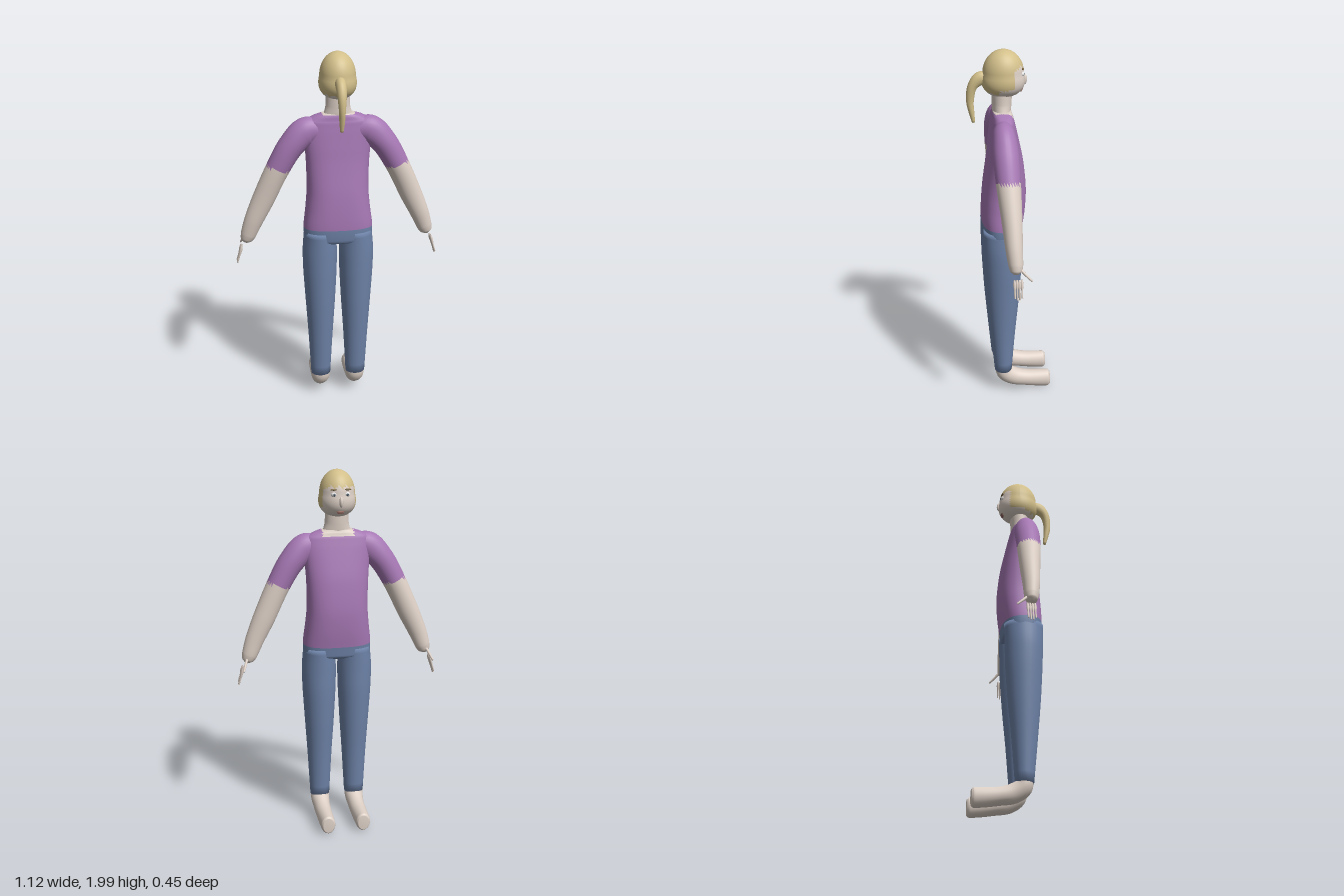
import * as THREE from 'three';

const mat = (name, color) => Object.assign(new THREE.MeshStandardMaterial({ color }), { name });
const skin = mat('skin', 0xddd0c6);
const shirt = mat('shirt purple', 0xa678b4);
const denim = mat('denim blue', 0x6e83a8);
const blonde = mat('blonde hair', 0xd2bf8a);
const brown = mat('brow brown', 0x7d6a45);
const white = mat('eye white', 0xe9e9e9);
const iris = mat('iris grey', 0x4d5a66);
const rose = mat('lip rose', 0x94695f);

const X = new THREE.Vector3(1, 0, 0);
const Z = new THREE.Vector3(0, 0, 1);

// Smooth closed sweep through rows [x, y, z, radius along side axis, radius across it].
function sweep(rows, side, { seg = 28, sub = 5, power = 1 } = {}) {
  const path = new THREE.CatmullRomCurve3(rows.map(r => new THREE.Vector3(r[0], r[1], r[2])));
  const radii = new THREE.CatmullRomCurve3(rows.map(r => new THREE.Vector3(r[3], r[4], 0)));
  const pos = [], index = [], n = (rows.length - 1) * sub;
  const bend = v => Math.sign(v) * Math.abs(v) ** power;
  for (let i = 0; i <= n; i++) {
    const p = path.getPoint(i / n), r = radii.getPoint(i / n);
    const across = path.getTangent(i / n).cross(side).normalize();
    for (let j = 0; j < seg; j++) {
      const a = (j / seg) * Math.PI * 2;
      const v = p.clone().addScaledVector(side, r.x * bend(Math.cos(a))).addScaledVector(across, r.y * bend(Math.sin(a)));
      pos.push(v.x, v.y, v.z);
      if (i < n) {
        const k = (j + 1) % seg, A = i * seg + j, B = i * seg + k;
        index.push(A, B, A + seg, B, B + seg, A + seg);
      }
    }
  }
  // end caps
  const start = pos.length / 3, last = n * seg;
  for (const r of [rows[0], rows[rows.length - 1]]) pos.push(r[0], r[1], r[2]);
  for (let j = 0; j < seg; j++) {
    const k = (j + 1) % seg;
    index.push(start, k, j, start + 1, last + j, last + k);
  }
  const g = new THREE.BufferGeometry();
  g.setAttribute('position', new THREE.Float32BufferAttribute(pos, 3));
  g.setIndex(index);
  g.computeVertexNormals();
  return g;
}

// Sort triangles into material groups; pick(x, y, z) returns the group for a triangle centre.
function paint(g, count, pick) {
  const src = g.index.array, p = g.attributes.position;
  const lists = Array.from({ length: count }, () => []);
  for (let i = 0; i < src.length; i += 3) {
    const t = [src[i], src[i + 1], src[i + 2]];
    const mid = f => (f(t[0]) + f(t[1]) + f(t[2])) / 3;
    lists[pick(mid(k => p.getX(k)), mid(k => p.getY(k)), mid(k => p.getZ(k)))].push(...t);
  }
  g.setIndex(lists.flat());
  let at = 0;
  lists.forEach((l, m) => { g.addGroup(at, l.length, m); at += l.length; });
  return g;
}

export function createModel() {
  const model = new THREE.Group();
  model.name = 'standing figure';
  const add = (name, geometry, material) => {
    const m = new THREE.Mesh(geometry, material);
    m.name = name;
    model.add(m);
    return m;
  };
  const blob = (name, material, at, size) => {
    const m = add(name, new THREE.SphereGeometry(1, 16, 12), material);
    m.position.set(...at);
    m.scale.set(...size);
  };

  // torso: hips, shirt and collar, as [height, half width, front z, back z]
  const torso = [
    [0.965, 0.12, -0.02, 0.11], [0.985, 0.185, -0.058, 0.15], [1.05, 0.188, -0.066, 0.157],
    [1.15, 0.176, -0.08, 0.155], [1.25, 0.167, -0.085, 0.147], [1.4, 0.169, -0.07, 0.127],
    [1.5, 0.176, -0.05, 0.116], [1.59, 0.184, -0.03, 0.106], [1.64, 0.175, -0.018, 0.1],
    [1.667, 0.13, -0.01, 0.095], [1.682, 0.082, -0.005, 0.09],
  ].map(([y, w, f, b]) => [0, y, (f + b) / 2, w, (b - f) / 2]);
  add('torso', paint(sweep(torso, X, { seg: 40, power: 0.78 }), 3, (x, y, z) =>
    y < 1.05 ? 0 : Math.abs(x) < 0.085 && y > (z < 0.03 ? 1.65 : 1.676) ? 2 : 1), [denim, shirt, skin]);

  add('neck', sweep([
    [0, 1.65, 0.044, 0.088, 0.046], [0, 1.685, 0.043, 0.073, 0.05],
    [0, 1.72, 0.042, 0.065, 0.052], [0, 1.82, 0.04, 0.062, 0.055],
  ], X), skin);

  for (const s of [1, -1]) {
    const label = s > 0 ? 'left' : 'right';
    const flip = rows => rows.map(([x, ...rest]) => [s * x, ...rest]);

    // arm with short sleeve
    const arm = sweep(flip([
      [0.09, 1.59, 0.048, 0.045, 0.055], [0.17, 1.585, 0.048, 0.061, 0.077],
      [0.245, 1.515, 0.046, 0.068, 0.07], [0.32, 1.39, 0.042, 0.064, 0.064],
      [0.405, 1.21, 0.033, 0.053, 0.06], [0.46, 1.09, 0.029, 0.045, 0.051],
      [0.49, 1.01, 0.024, 0.038, 0.042], [0.501, 0.982, 0.023, 0.03, 0.032],
      [0.506, 0.967, 0.023, 0.012, 0.012],
    ]), Z, { sub: 8 });
    add(label + 'Arm', paint(arm, 2, (x, y) => (y > 1.39 + 0.3 * (Math.abs(x) - 0.32) ? 0 : 1)), [shirt, skin]);

    // four fingers and a thumb
    for (let i = 0; i < 4; i++) {
      const z = -0.003 + i * 0.0125, tip = i === 0 || i === 3 ? 0.855 : 0.845;
      add(label + 'Finger', sweep(flip([
        [0.528, 0.947, z, 0.005, 0.005], [0.54, 0.9, z, 0.005, 0.005], [0.554, tip, z, 0.004, 0.004],
      ]), Z, { seg: 8, sub: 2 }), skin);
    }
    add(label + 'Thumb', sweep(flip([
      [0.505, 0.995, 0, 0.008, 0.008], [0.519, 0.965, -0.028, 0.007, 0.007], [0.53, 0.938, -0.056, 0.005, 0.005],
    ]), X, { seg: 10, sub: 3 }), skin);

    // trouser leg
    add(label + 'Leg', sweep(flip([
      [0.1, 1.03, 0.047, 0.086, 0.107], [0.101, 0.9, 0.048, 0.095, 0.104], [0.101, 0.8, 0.0475, 0.093, 0.1015],
      [0.1, 0.6, 0.049, 0.082, 0.089], [0.1, 0.4, 0.05, 0.069, 0.071], [0.1, 0.14, 0.048, 0.055, 0.049],
    ]), X), denim);

    // bare foot pointing toward -z
    add(label + 'Foot', sweep(flip([
      [0.1, 0.17, 0.048, 0.05, 0.044], [0.1, 0.12, 0.04, 0.053, 0.05], [0.1, 0.085, -0.01, 0.047, 0.052],
      [0.1, 0.069, -0.08, 0.045, 0.048], [0.1, 0.06, -0.16, 0.043, 0.051],
      [0.1, 0.057, -0.21, 0.04, 0.052], [0.1, 0.057, -0.224, 0.031, 0.042],
    ]), X), skin);

    // eyes and brows
    blob(label + 'Eye', white, [s * 0.034, 1.878, -0.06], [0.017, 0.014, 0.014]);
    blob(label + 'Iris', iris, [s * 0.035, 1.878, -0.071], [0.007, 0.007, 0.004]);
    blob(label + 'Brow', brown, [s * 0.036, 1.904, -0.064], [0.02, 0.005, 0.007]);
  }

  // head: fuller toward the jaw, hair split off along a ragged hairline
  const head = new THREE.SphereGeometry(1, 40, 28);
  const p = head.attributes.position;
  for (let i = 0; i < p.count; i++) {
    const y = p.getY(i), k = 1 + 0.35 * Math.max(0, -y);
    p.setXYZ(i, p.getX(i) * 0.095 * k, 1.875 + y * 0.125, 0.033 + p.getZ(i) * 0.108 * k);
  }
  head.computeVertexNormals();
  add('head', paint(head, 2, (x, y, z) => {
    const jag = 0.006 * Math.sin(x * 160);
    const face = z < -0.022 + jag && y < 1.915 + jag;
    return face || y < (z > 0.06 ? 1.785 : 1.8) + jag ? 1 : 0;
  }), [blonde, skin]);

  // nose and lips
  blob('nose', skin, [0, 1.84, -0.075], [0.011, 0.029, 0.017]);
  blob('upperLip', rose, [0, 1.789, -0.06], [0.023, 0.005, 0.009]);
  blob('lowerLip', rose, [0, 1.781, -0.057], [0.019, 0.005, 0.009]);

  // ponytail
  add('ponytail', sweep([
    [0, 1.855, 0.12, 0.028, 0.032], [0, 1.85, 0.155, 0.029, 0.036], [0, 1.81, 0.193, 0.025, 0.026],
    [0, 1.73, 0.207, 0.018, 0.02], [0, 1.67, 0.2, 0.015, 0.015], [0, 1.615, 0.19, 0.009, 0.009],
  ], X, { seg: 16 }), blonde);

  return model;
}
